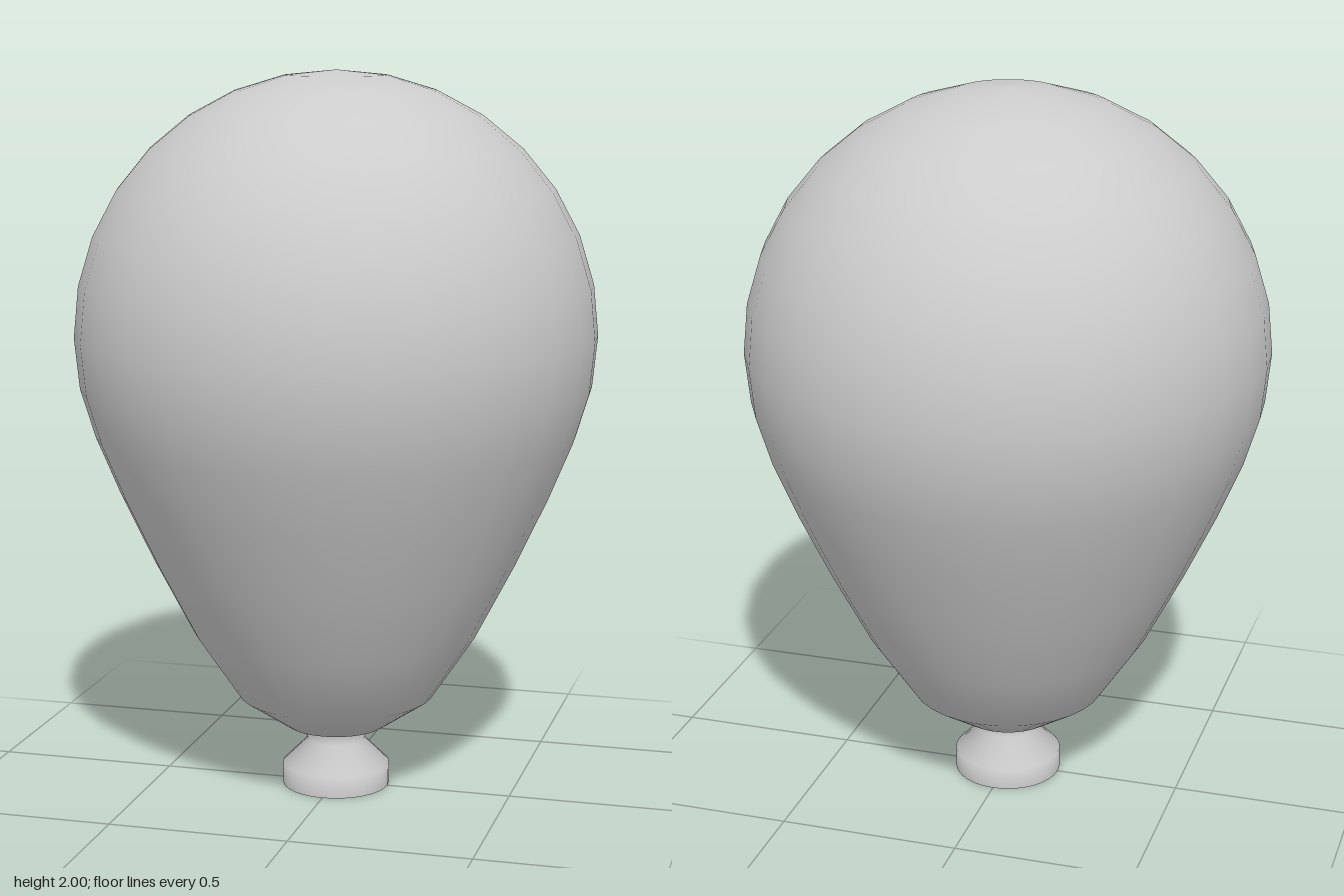
import * as THREE from 'three';

const SEGMENTS = 32;
const RADIUS = 0.715;
const CENTRE = 1.285;

function lathe(name, points) {
  const geometry = new THREE.LatheGeometry(points.map(([r, y]) => new THREE.Vector2(r, y)), SEGMENTS);
  const material = new THREE.MeshStandardMaterial({ color: 0xcccccc, side: THREE.DoubleSide });
  const mesh = new THREE.Mesh(geometry, material);
  mesh.name = name;
  return mesh;
}

export function createModel() {
  const group = new THREE.Group();
  group.name = 'balloon';

  // Body: a round dome above the widest ring, a stretched taper below it
  const taperHeights = [0.175, 0.265, 0.45, 0.66, 0.85, 1.01, 1.145];
  const body = [[0.1, 0.175]];
  for (let i = 1; i <= 16; i++) {
    const angle = (i / 16) * Math.PI;
    const y = i < 8 ? taperHeights[i - 1] : CENTRE - RADIUS * Math.cos(angle);
    body.push([i === 16 ? 0 : RADIUS * Math.sin(angle), y]);
  }
  group.add(lathe('body', body));

  // Tied neck: flared lip, pinched waist, spreading into the body
  group.add(lathe('neck', [[0.15, 0], [0.15, 0.06], [0.08, 0.13], [0.1, 0.18]]));

  // Hollow underside of the lip
  group.add(lathe('lipHollow', [[0, 0.09], [0.07, 0.08], [0.135, 0.045], [0.142, 0.005], [0.15, 0]]));

  return group;
}
